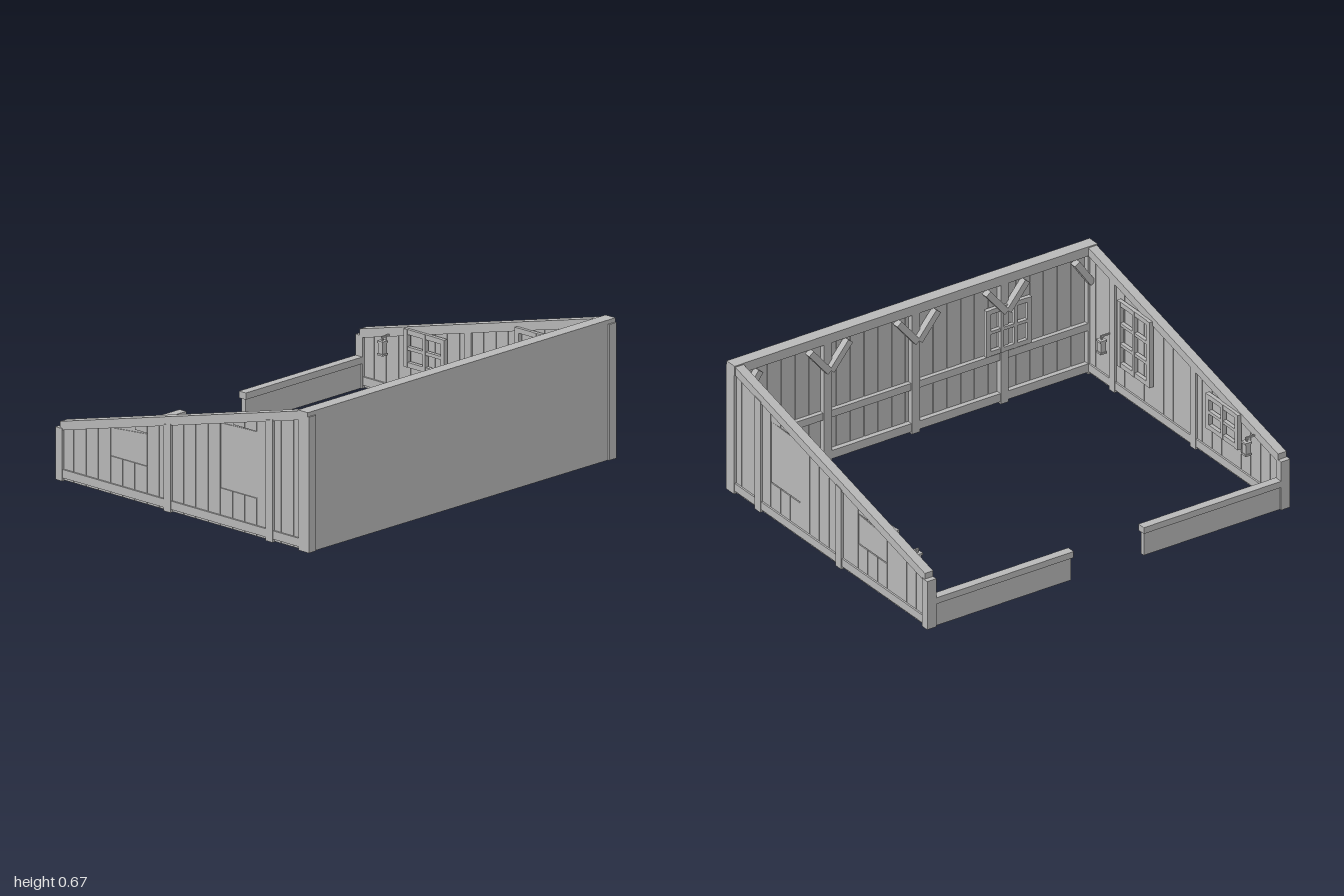
import * as THREE from 'three';

const grey = new THREE.MeshStandardMaterial({ color: 0xb8b8b8 });
grey.name = 'plain grey';

// Height of the sloping wall top at depth z
const slopeY = (z) => 0.66 + (z - 0.735) * 0.2517;
const underPlate = (z) => slopeY(z) - 0.043;

function add(parent, name, geometry) {
  const mesh = new THREE.Mesh(geometry, grey);
  mesh.name = name;
  parent.add(mesh);
  return mesh;
}

// Box given by its limits on each axis
function block(parent, name, x0, x1, y0, y1, z0, z1) {
  const mesh = add(parent, name, new THREE.BoxGeometry(Math.abs(x1 - x0), y1 - y0, z1 - z0));
  mesh.position.set((x0 + x1) / 2, (y0 + y1) / 2, (z0 + z1) / 2);
  return mesh;
}

// Slab in a side wall: outline in (z, y), thick from x0 to x1
function slab(parent, name, side, x0, x1, points) {
  const shape = new THREE.Shape(points.map(([z, y]) => new THREE.Vector2(-z, y)));
  const geometry = new THREE.ExtrudeGeometry(shape, { depth: x1 - x0, bevelEnabled: false });
  geometry.rotateY(Math.PI / 2);
  geometry.translate(side > 0 ? x0 : -x1, 0, 0);
  return add(parent, name, geometry);
}

// Square timber between two points of the front wall
function brace(parent, xa, ya, xb, yb) {
  const length = Math.hypot(xb - xa, yb - ya);
  const mesh = add(parent, 'brace', new THREE.BoxGeometry(length, 0.032, 0.035));
  mesh.position.set((xa + xb) / 2, (ya + yb) / 2, 0.7225);
  mesh.rotation.z = Math.atan2(yb - ya, xb - xa);
}

// Window frame with glazing bars, facing +z, centred on its origin
function windowFrame(width, height, cols, rows) {
  const group = new THREE.Group();
  group.name = 'window';
  const t = 0.024, w = width / 2, h = height / 2;
  for (let i = 0; i <= cols; i++) {
    const half = (i === 0 || i === cols ? t : 0.016) / 2;
    const x = -w + t / 2 + (i / cols) * (width - t);
    block(group, 'windowUpright', x - half, x + half, -h, h, 0, 0.022);
  }
  for (let j = 0; j <= rows; j++) {
    const half = (j === 0 || j === rows ? t : 0.016) / 2;
    const y = -h + t / 2 + (j / rows) * (height - t);
    block(group, 'windowBar', -w, w, y - half, y + half, 0, 0.02);
  }
  return group;
}

// Small wall lantern on a hook
function lantern(parent, side, z) {
  const group = new THREE.Group();
  group.name = 'lantern';
  block(group, 'lanternArm', side * 0.9, side * 0.957, 0.288, 0.296, z - 0.004, z + 0.004);
  block(group, 'lanternBody', side * 0.893, side * 0.921, 0.215, 0.265, z - 0.014, z + 0.014);
  block(group, 'lanternBase', side * 0.889, side * 0.925, 0.206, 0.215, z - 0.018, z + 0.018);
  block(group, 'lanternCap', side * 0.889, side * 0.925, 0.265, 0.275, z - 0.018, z + 0.018);
  block(group, 'lanternRing', side * 0.903, side * 0.911, 0.275, 0.296, z - 0.004, z + 0.004);
  parent.add(group);
}

function frontWall() {
  const wall = new THREE.Group();
  wall.name = 'frontWall';
  block(wall, 'frontPanel', -0.995, 0.995, 0, 0.655, 0.772, 0.793);
  block(wall, 'frontTopPlate', -1, 1, 0.617, 0.665, 0.73, 0.793);
  block(wall, 'frontSill', -0.96, 0.96, 0.012, 0.055, 0.735, 0.775);
  block(wall, 'frontRail', -0.96, 0.96, 0.225, 0.262, 0.738, 0.775);

  // Inner boards with narrow gaps
  const pitch = 1.9 / 25;
  for (let i = 0; i < 25; i++) {
    const x = -0.95 + i * pitch;
    block(wall, 'frontBoard', x + 0.0015, x + pitch - 0.0015, 0.003, 0.625, 0.76, 0.774);
  }
  // Posts with a pair of braces each, and half pairs in the corners
  for (const x of [-0.49, 0, 0.485]) {
    block(wall, 'frontPost', x - 0.022, x + 0.022, 0, 0.62, 0.732, 0.775);
    for (const s of [-1, 1]) brace(wall, x + s * 0.005, 0.485, x + s * 0.108, 0.61);
  }
  for (const s of [-1, 1]) {
    block(wall, 'cornerPost', s * 0.952, s, 0, 0.645, 0.735, 0.8);
    brace(wall, s * 0.96, 0.485, s * 0.872, 0.61);
  }
  const frame = windowFrame(0.25, 0.24, 3, 2);
  frame.rotation.y = Math.PI;
  frame.position.set(-0.505, 0.395, 0.74);
  wall.add(frame);
  return wall;
}

function sideWall(side) {
  const wall = new THREE.Group();
  wall.name = side > 0 ? 'leftWall' : 'rightWall';
  const lo = 0.954, hi = 0.996;

  // Core panel, sloping top plate and bottom rail
  slab(wall, 'sidePanel', side, 0.969, 0.981,
    [[0.77, 0], [0.77, underPlate(0.77)], [-0.775, underPlate(-0.775)], [-0.775, 0]]);
  slab(wall, 'slopingPlate', side, lo - 0.004, hi,
    [[0.735, underPlate(0.735)], [0.735, slopeY(0.735)], [-0.775, slopeY(-0.775)], [-0.775, underPlate(-0.775)]]);
  block(wall, 'plateEnd', side * 0.95, side, 0.617, 0.665, 0.735, 0.79);
  block(wall, 'sideRail', side * lo, side * hi, 0.015, 0.055, -0.775, 0.75);
  block(wall, 'backPost', side * 0.95, side, 0, 0.25, -0.8, -0.757);
  for (const z of [0.548, -0.095]) {
    const a = z + 0.022, b = z - 0.022;
    slab(wall, 'sidePost', side, 0.951, 1,
      [[a, 0], [a, underPlate(a) + 0.008], [b, underPlate(b) + 0.008], [b, 0]]);
  }

  // Boards on both faces, interrupted by the shuttered openings outside
  const openings = [{ first: 4, top: 0.5 }, { first: 13, top: 0.34 }];
  for (let k = 0; k < 20; k++) {
    const a = 0.768 - k * 0.077 - 0.0015, b = a - 0.074;
    const board = (x0, x1, y0, top) => slab(wall, 'sideBoard', side, x0, x1,
      [[a, y0], [a, top ?? underPlate(a)], [b, top ?? underPlate(b)], [b, y0]]);
    board(0.963, 0.97, 0.003);
    const opening = openings.find((o) => k >= o.first && k < o.first + 3);
    if (!opening) {
      board(0.98, 0.987, 0.003);
      continue;
    }
    board(0.98, 0.987, 0.003, 0.182);
    if (underPlate(b) > opening.top) board(0.98, 0.987, opening.top);
  }
  for (const [z, top] of [[0.3455, 0.498], [-0.3485, 0.335]]) {
    const a = z + 0.112, b = z - 0.112;
    slab(wall, 'windowPanel', side, 0.98, 0.985,
      [[a, 0.186], [a, Math.min(top, underPlate(a))], [b, Math.min(top, underPlate(b))], [b, 0.186]]);
  }

  // Windows and lanterns on the inner face
  for (const [z, height, rows] of [[0.35, 0.34, 3], [-0.352, 0.18, 2]]) {
    const frame = windowFrame(0.257, height, 2, rows);
    frame.rotation.y = -side * Math.PI / 2;
    frame.position.set(side * 0.954, 0.17 + height / 2, z);
    wall.add(frame);
  }
  lantern(wall, side, 0.563);
  lantern(wall, side, -0.588);
  return wall;
}

// Low wall either side of the entrance
function backWall(side) {
  const wall = new THREE.Group();
  wall.name = 'backWall';
  block(wall, 'backBoard', side * 0.2, side * 0.99, 0, 0.125, -0.79, -0.766);
  block(wall, 'backCap', side * 0.193, side * 0.99, 0.118, 0.15, -0.8, -0.757);
  return wall;
}

export function createModel() {
  const model = new THREE.Group();
  model.name = 'leanToShed';
  model.add(frontWall());
  for (const side of [-1, 1]) model.add(sideWall(side), backWall(side));
  return model;
}
